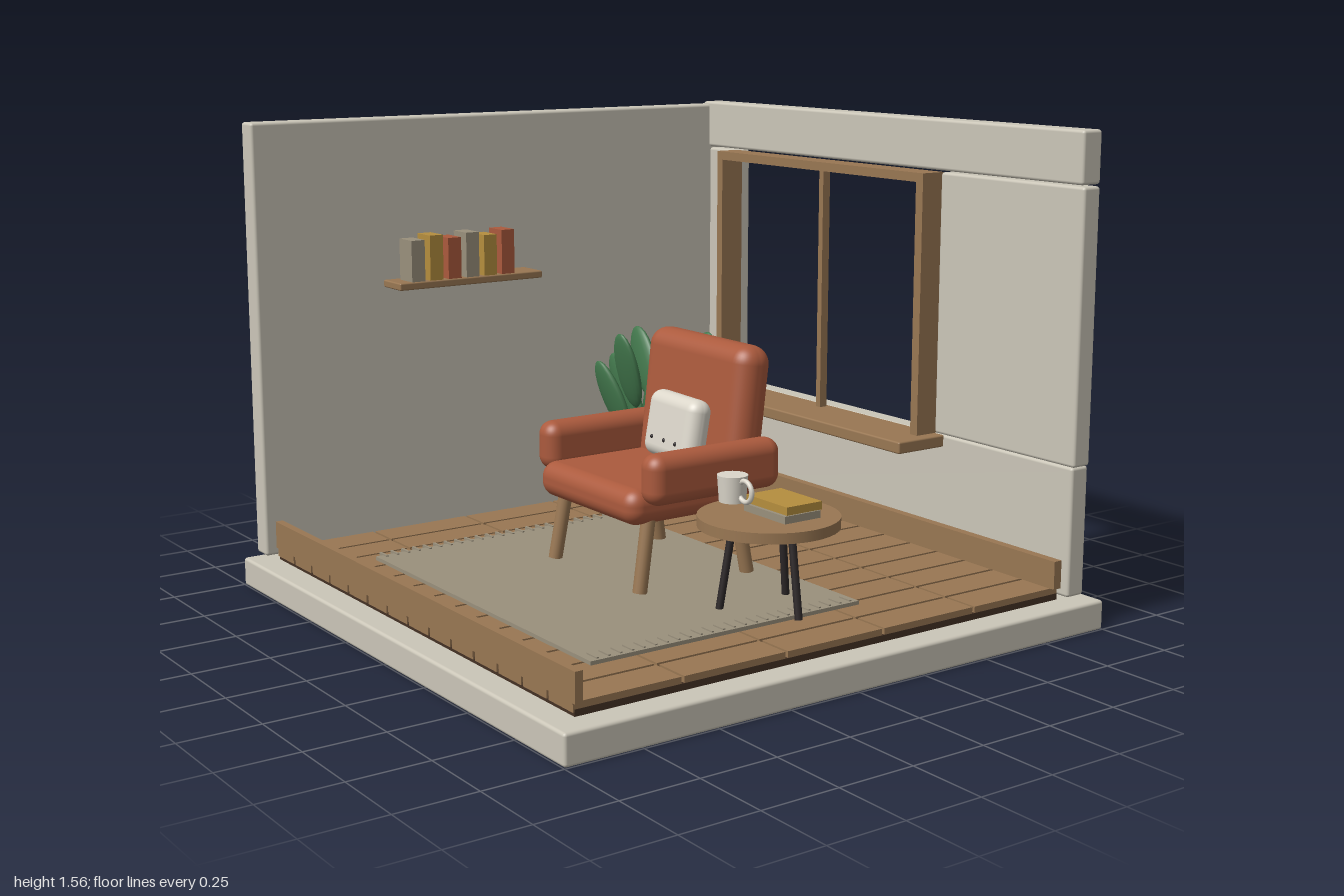
import * as THREE from 'three';
import { RoundedBoxGeometry } from 'three/addons/geometries/RoundedBoxGeometry.js';

const mat = (name, color) => {
  const m = new THREE.MeshStandardMaterial({ color });
  m.name = name;
  return m;
};

export function createModel() {
  const room = new THREE.Group();
  room.name = 'cosyRoom';
  const plaster = mat('plaster', 0xcbc6b8), wood = mat('wood', 0x997753);
  const rust = mat('rustFabric', 0xab5a3d), cream = mat('cream', 0xdcd7cb);
  const leafGreen = mat('leafGreen', 0x42774c), dark = mat('charcoal', 0x2d2829);
  const taupe = mat('taupe', 0x9a907c), mustard = mat('mustard', 0xb58e3e);
  const clay = mat('clay', 0x965a3e), gapBrown = mat('darkWood', 0x453225);

  const add = (name, geo, material, parent = room) => {
    const m = new THREE.Mesh(geo, material);
    m.name = name;
    parent.add(m);
    return m;
  };
  const group = (name) => {
    const g = new THREE.Group();
    g.name = name;
    room.add(g);
    return g;
  };
  // Box given by its extents; r > 0 rounds the edges
  const box = (name, [x0, x1], [y0, y1], [z0, z1], material, parent = room, r = 0) => {
    const s = [x1 - x0, y1 - y0, z1 - z0];
    const geo = r ? new RoundedBoxGeometry(...s, r > 0.02 ? 5 : 2, r) : new THREE.BoxGeometry(...s);
    const m = add(name, geo, material, parent);
    m.position.set((x0 + x1) / 2, (y0 + y1) / 2, (z0 + z1) / 2);
    return m;
  };
  // Tapered rod from point a to point b
  const rod = (name, a, b, ra, rb, material, parent, sides = 12) => {
    const p = new THREE.Vector3(...a), q = new THREE.Vector3(...b);
    const d = q.clone().sub(p);
    const m = add(name, new THREE.CylinderGeometry(rb, ra, d.length(), sides), material, parent);
    m.position.copy(p).add(q).multiplyScalar(0.5);
    m.quaternion.setFromUnitVectors(new THREE.Vector3(0, 1, 0), d.normalize());
    return m;
  };

  // Base and walls
  const shell = group('shell');
  const backZ = [-0.955, -0.885];
  box('base', [-1, 1], [0, 0.095], [-1, 1], plaster, shell, 0.01);
  box('sideWall', [-0.99, -0.915], [0.11, 1.55], [-0.95, 0.955], plaster, shell, 0.01);
  box('backWallLower', [-0.955, 0.955], [0.11, 0.525], backZ, plaster, shell, 0.01);
  box('backWallRight', [0.335, 0.96], [0.525, 1.39], backZ, plaster, shell, 0.01);
  box('backWallLeft', [-0.96, -0.765], [0.525, 1.39], backZ, plaster, shell, 0.01);
  box('backWallTop', [-0.955, 0.955], [1.395, 1.56], [-0.96, -0.88], plaster, shell, 0.01);

  // Plank floor with dark gaps, and skirting boards
  const floor = group('floor');
  box('subfloor', [-0.91, 0.91], [0.09, 0.115], [-0.885, 0.91], gapBrown, floor);
  const cols = 14, rows = 5, w = 1.83 / cols, l = 1.81 / rows;
  for (let i = 0; i < cols; i++) for (let j = 0; j < rows; j++) {
    const x = -0.915 + i * w, z = -0.89 + j * l;
    box('plank', [x + 0.006, x + w - 0.006], [0.107, 0.135], [z + 0.005, z + l - 0.005], wood, floor);
  }
  box('frontSkirting', [-0.915, 0.925], [0.135, 0.225], [0.893, 0.918], wood, floor);
  box('backSkirting', [-0.915, 0.925], [0.135, 0.225], [-0.885, -0.855], wood, floor);

  // Window frame and sill
  const win = group('window');
  const frameZ = [-0.895, -0.805];
  box('leftJamb', [-0.765, -0.735], [0.525, 1.385], frameZ, wood, win);
  box('rightJamb', [0.305, 0.338], [0.525, 1.385], frameZ, wood, win);
  box('head', [-0.765, 0.338], [1.36, 1.39], frameZ, wood, win);
  box('mullion', [-0.225, -0.203], [0.525, 1.36], [-0.87, -0.84], wood, win);
  box('sill', [-0.8, 0.38], [0.485, 0.525], [-0.89, -0.69], wood, win, 0.006);

  // Rug with fringe
  const rug = group('rug');
  box('rugBody', [-0.59, 0.69], [0.135, 0.147], [-0.26, 0.715], taupe, rug);
  for (let i = 0; i < 24; i++) for (const x of [-0.59, 0.655]) {
    const z = -0.235 + i * 0.04;
    box('fringe', [x - 0.025, x + 0.025], [0.138, 0.151], [z - 0.004, z + 0.004], taupe, rug);
  }

  // Wall shelf with books
  const shelf = group('shelf');
  box('shelfBoard', [-0.915, -0.795], [0.98, 1.005], [-0.065, 0.493], wood, shelf, 0.005);
  [taupe, mustard, rust, taupe, mustard, rust].forEach((m, i) => {
    const z = 0.42 - i * 0.07;
    box('shelfBook', [-0.885, -0.8], [1.005, i % 2 ? 1.158 : 1.145], [z - 0.025, z + 0.025], m, shelf);
  });

  // Armchair
  const chair = group('armchair');
  box('seat', [-0.27, 0.27], [0.36, 0.475], [-0.2, 0.29], rust, chair, 0.05);
  const back = box('backrest', [-0.272, 0.272], [0.405, 0.875], [-0.235, -0.105], rust, chair, 0.06);
  back.position.z = -0.177;
  back.rotation.x = -0.12;
  for (const s of [-1, 1]) {
    const x = s * 0.292;
    box('arm', [x - 0.05, x + 0.05], [0.432, 0.592], [-0.242, 0.255], rust, chair, 0.045);
    rod('frontLeg', [s * 0.242, 0.147, 0.24], [s * 0.232, 0.38, 0.2], 0.023, 0.023, wood, chair, 16);
    rod('rearLeg', [s * 0.242, 0.147, -0.175], [s * 0.232, 0.38, -0.135], 0.023, 0.023, wood, chair, 16);
  }

  // Pillow with buttons
  const pillow = group('pillow');
  pillow.position.set(0.01, 0.588, -0.068);
  pillow.rotation.set(-0.18, -0.12, 0);
  add('pillowBody', new RoundedBoxGeometry(0.3, 0.215, 0.085, 5, 0.04), cream, pillow);
  for (const x of [-0.08, 0, 0.075]) {
    const b = add('button', new THREE.SphereGeometry(0.007, 10, 8), dark, pillow);
    b.position.set(x, -0.045, 0.042);
  }

  // Side table
  const table = group('sideTable');
  table.position.set(0.58, 0, 0.005);
  add('tableTop', new THREE.CylinderGeometry(0.216, 0.216, 0.033, 40), wood, table).position.y = 0.418;
  for (let i = 0; i < 3; i++) {
    const a = i * Math.PI * 2 / 3, c = Math.cos(a), s = Math.sin(a);
    rod('tableLeg', [0.147 * c, 0.145, 0.147 * s], [0.108 * c, 0.405, 0.108 * s], 0.012, 0.012, dark, table);
  }
  box('lowerBook', [0.505, 0.7], [0.435, 0.458], [-0.095, 0.04], taupe, room);
  box('upperBook', [0.505, 0.7], [0.46, 0.485], [-0.1, 0.033], mustard, room);

  // Mug
  const mug = group('mug');
  mug.position.set(0.482, 0.505, 0.067);
  add('mugBody', new THREE.CylinderGeometry(0.047, 0.041, 0.082, 28), cream, mug);
  add('mugHandle', new THREE.TorusGeometry(0.032, 0.008, 8, 24), cream, mug).position.set(0.062, 0, 0);

  // Potted plant
  const plant = group('plant');
  plant.position.set(-0.583, 0, -0.405);
  const profile = [[0, 0.14], [0.105, 0.14], [0.14, 0.33], [0.145, 0.345], [0.128, 0.345], [0.125, 0.3]];
  const pot = add('pot', new THREE.LatheGeometry(profile.map((p) => new THREE.Vector2(...p)), 32), clay, plant);
  pot.geometry = pot.geometry.toNonIndexed();
  pot.geometry.computeVertexNormals();
  add('soil', new THREE.CylinderGeometry(0.127, 0.12, 0.02, 32), dark, plant).position.y = 0.327;
  // Leaf centres: x, y, z about the pot's axis
  const leaves = [
    [-0.05, 0.53, -0.155], [0.1, 0.63, -0.125], [0.14, 0.68, -0.065], [0.16, 0.5, 0],
    [0.14, 0.67, 0.04], [0.12, 0.55, 0.09], [0.01, 0.66, 0.13], [-0.085, 0.55, 0.13],
    [-0.165, 0.56, 0.02], [-0.14, 0.65, -0.045], [-0.12, 0.63, -0.11],
  ];
  for (const [x, y, z] of leaves) {
    const leaf = add('leaf', new THREE.SphereGeometry(1, 18, 12), leafGreen, plant);
    leaf.scale.set(0.065, 0.14, 0.022);
    leaf.rotation.set(z * 2, 0, -x * 4);
    leaf.position.set(x, y, z);
    leaf.updateMatrix();
    const foot = new THREE.Vector3(0, -0.9, 0).applyMatrix4(leaf.matrix);
    rod('stem', [x * 0.1, 0.33, z * 0.1], foot.toArray(), 0.008, 0.006, leafGreen, plant, 8);
  }
  return room;
}
